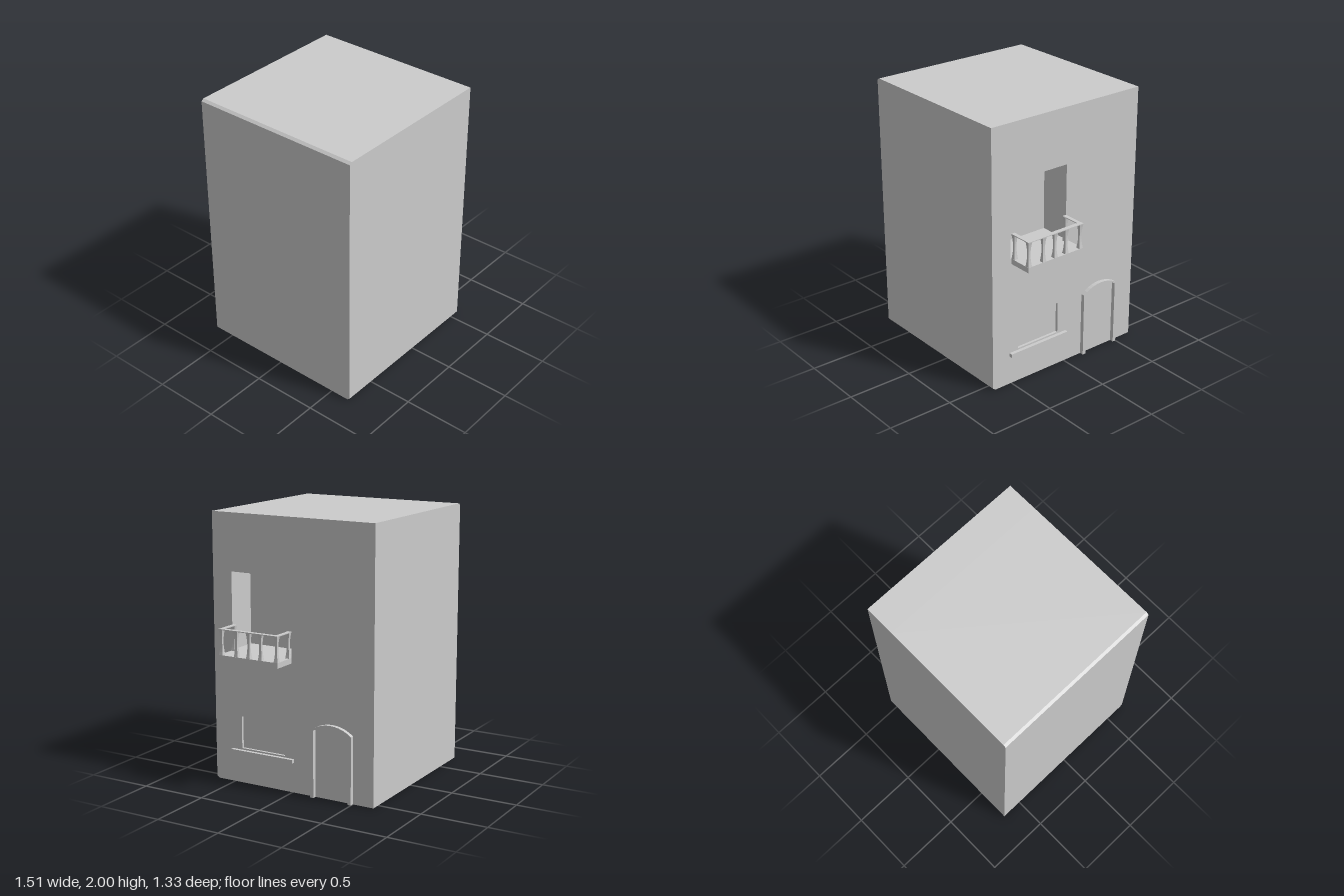
import * as THREE from 'three';

const material = new THREE.MeshStandardMaterial({ color: 0xcccccc, flatShading: true });
const WALL = 0.57; // x of the facade plane

function add(group, name, geometry, x = 0, y = 0, z = 0) {
  const mesh = new THREE.Mesh(geometry, material);
  mesh.name = name;
  mesh.position.set(x, y, z);
  group.add(mesh);
  return mesh;
}

// Box given by its limits
function block(group, name, [x0, x1], [y0, y1], [z0, z1]) {
  return add(group, name, new THREE.BoxGeometry(x1 - x0, y1 - y0, z1 - z0),
    (x0 + x1) / 2, (y0 + y1) / 2, (z0 + z1) / 2);
}

// Extrude a shape drawn in (-z, y) along x
function extrudeX(shape, x0, x1) {
  const g = new THREE.ExtrudeGeometry(shape, { depth: x1 - x0, bevelEnabled: false, curveSegments: 10 });
  return g.rotateY(Math.PI / 2).translate(x0, 0, 0);
}

const polygon = (pts) => pts.map(([z, y]) => new THREE.Vector2(-z, y));
const rect = (z0, z1, y0, y1) => new THREE.Path(polygon([[z0, y0], [z1, y0], [z1, y1], [z0, y1]]));

// House outline with a small chamfer along the lower front edge
function outline(...holes) {
  const s = new THREE.Shape(polygon([
    [0.645, 0], [-0.665, 0], [-0.665, 2], [0.665, 2], [0.665, 0.015]]));
  s.holes.push(...holes);
  return s;
}

// Points of a segmental arch, left foot to right foot
function archPoints(half, spring, apex, centre) {
  const rise = apex - spring;
  const r = (half * half + rise * rise) / (2 * rise);
  const a = Math.asin(half / r);
  const pts = [];
  for (let i = 0; i <= 10; i++) {
    const t = -a + (2 * a * i) / 10;
    pts.push([centre + r * Math.sin(t), apex - r + r * Math.cos(t)]);
  }
  return pts;
}

// Square post, narrow in the middle and flared at both ends
function baluster(width, height) {
  const g = new THREE.BoxGeometry(width, height, width, 1, 8, 1);
  const p = g.attributes.position;
  for (let i = 0; i < p.count; i++) {
    const t = (2 * p.getY(i)) / height;
    const k = 0.5 + 0.5 * t * t;
    p.setX(i, p.getX(i) * k);
    p.setZ(i, p.getZ(i) * k);
  }
  g.computeVertexNormals();
  return g;
}

export function createModel() {
  const model = new THREE.Group();
  model.name = 'house';

  // Walls: solid core, layer with the deep balcony recess, thin layer with the window too
  const body = new THREE.Group();
  body.name = 'walls';
  model.add(body);
  const balconyHole = () => rect(0, 0.505, 1.0, 1.575);
  add(body, 'core', extrudeX(outline(), -0.74, 0.33));
  add(body, 'recessLayer', extrudeX(outline(balconyHole()), 0.33, 0.55));
  add(body, 'facade', extrudeX(outline(balconyHole(), rect(0.065, 0.435, 0.265, 0.507)), 0.55, WALL));

  // Far side layer with its upper edge slightly sloped
  const side = extrudeX(outline(), -0.76, -0.74);
  const p = side.attributes.position;
  for (let i = 0; i < p.count; i++) {
    if (p.getX(i) < -0.75 && p.getY(i) > 1.9) p.setY(i, 1.985);
  }
  side.computeVertexNormals();
  add(body, 'sideWall', side);

  // Window sill
  block(model, 'windowSill', [WALL, 0.597], [0.226, 0.253], [-0.012, 0.515]);

  // Arched door frame
  const outer = archPoints(0.167, 0.5, 0.557, -0.333);
  const inner = archPoints(0.14, 0.502, 0.54, -0.333);
  const frame = new THREE.Shape(polygon([
    [-0.5, 0], ...outer, [-0.166, 0], [-0.193, 0], ...inner.reverse(), [-0.473, 0]]));
  add(model, 'doorFrame', extrudeX(frame, WALL, 0.6));

  // Balcony
  const balcony = new THREE.Group();
  balcony.name = 'balcony';
  model.add(balcony);
  block(balcony, 'balconyFloor', [WALL, 0.755], [0.96, 1.0], [0, 0.497]);
  block(balcony, 'frontRail', [0.722, 0.755], [1.184, 1.19], [0, 0.497]);
  for (const z of [0, 0.467]) {
    block(balcony, 'sideRail', [WALL, 0.722], [1.184, 1.19], [z, z + 0.03]);
  }

  // Balusters along the front edge and against the wall
  const post = baluster(0.033, 0.186);
  for (const z of [0.0165, 0.148, 0.248, 0.352, 0.48]) add(balcony, 'baluster', post, 0.738, 1.093, z);
  for (const z of [0.0165, 0.48]) add(balcony, 'wallBaluster', post, 0.587, 1.093, z);

  return model;
}
